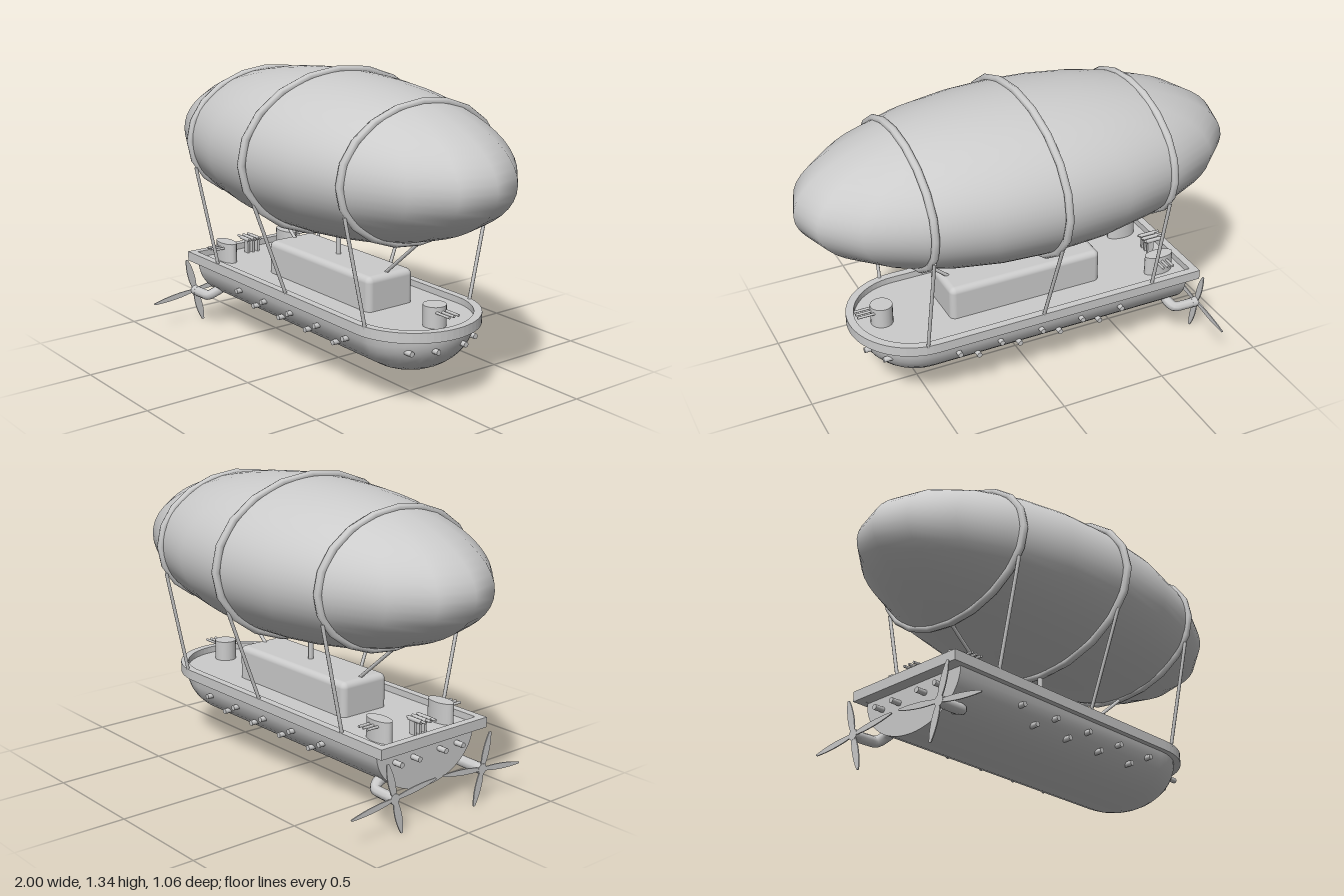
import * as THREE from 'three';
import { RoundedBoxGeometry } from 'three/addons/geometries/RoundedBoxGeometry.js';

const mat = new THREE.MeshStandardMaterial({ color: 0xcccccc });
const matDouble = new THREE.MeshStandardMaterial({ color: 0xcccccc, side: THREE.DoubleSide });
const V = (x, y, z) => new THREE.Vector3(x, y, z);

export function createModel() {
  const model = new THREE.Group();
  model.name = 'airship';

  const add = (name, geo, parent = model, material = mat) => {
    const mesh = new THREE.Mesh(geo, material);
    mesh.name = name;
    parent.add(mesh);
    return mesh;
  };
  // Round bar between two points
  const bar = (name, a, b, r, parent = model, sides = 8) => {
    const mesh = add(name, new THREE.CylinderGeometry(r, r, a.distanceTo(b), sides), parent);
    mesh.position.copy(a).lerp(b, 0.5);
    mesh.quaternion.setFromUnitVectors(V(0, 1, 0), b.clone().sub(a).normalize());
    return mesh;
  };

  // Gas envelope
  const envelope = add('envelope', new THREE.SphereGeometry(1, 20, 32).scale(1, 0.35, 0.5));
  envelope.position.y = 0.975;

  // Elliptical bands around the envelope, tube kept round
  const band = (x, rz, ry) => {
    const geo = new THREE.TorusGeometry(1, 0.018, 8, 20);
    const p = geo.attributes.position;
    for (let i = 0; i < p.count; i++) {
      const t = Math.atan2(p.getY(i), p.getX(i));
      const d = Math.hypot(p.getX(i), p.getY(i)) - 1;
      p.setXY(i, (rz + d) * Math.cos(t), (ry + d) * Math.sin(t));
    }
    add('envelopeBand', geo.rotateY(Math.PI / 2)).position.set(x, 0.975, 0);
  };
  band(0, 0.513, 0.355);
  for (const x of [-0.55, 0.55]) band(x, 0.42, 0.292);

  // Suspension cables, mast and braces
  for (const s of [-1, 1]) {
    bar('cable', V(0, 0.8, s * 0.455), V(0, 0.35, s * 0.285), 0.008);
    for (const x of [-0.55, 0.55]) bar('cable', V(x, 0.85, s * 0.395), V(x, 0.35, s * 0.285), 0.008);
    bar('brace', V(s * 0.55, 0.68, 0), V(s * 0.32, 0.485, 0), 0.008);
  }
  bar('mast', V(0, 0.48, 0), V(0, 0.64, 0), 0.012);

  // Hull: half-ellipse sections, straight aft and closing to a rounded bow
  const W = 0.275, D = 0.205, TOP = 0.33, STERN = -0.745, N = 16, M = 10;
  const stations = [[STERN, 1]];
  for (let i = 0; i <= M; i++) {
    const t = (i / M) * Math.PI / 2;
    stations.push([0.5 + 0.26 * Math.sin(t), Math.cos(t)]);
  }
  const pos = [], idx = [];
  stations.forEach(([x, k], i) => {
    for (let j = 0; j <= N; j++) {
      const a = (j / N) * Math.PI;
      pos.push(x, TOP - D * k * Math.sin(a), W * k * Math.cos(a));
      if (i < stations.length - 1 && j < N) {
        const q = i * (N + 1) + j, r = q + N + 1;
        idx.push(q, q + 1, r, q + 1, r + 1, r);
      }
    }
  });
  const hull = new THREE.BufferGeometry();
  hull.setAttribute('position', new THREE.Float32BufferAttribute(pos, 3));
  hull.setIndex(idx);
  hull.computeVertexNormals();
  add('hull', hull, model, matDouble);

  const sternShape = new THREE.Shape();
  sternShape.absellipse(0, 0, W, D, Math.PI, 2 * Math.PI, false);
  const stern = add('sternWall', new THREE.ShapeGeometry(sternShape, N), model, matDouble);
  stern.rotation.y = -Math.PI / 2;
  stern.position.set(STERN, TOP, 0);

  // Deck and raised rim share a plan: square stern, round bow
  const plan = (Type, aft, r) => {
    const s = new Type();
    s.moveTo(aft, -r);
    s.lineTo(0.5, -r);
    s.absarc(0.5, 0, r, -Math.PI / 2, Math.PI / 2, false);
    s.lineTo(aft, r);
    s.closePath();
    return s;
  };
  const slab = (name, shape, y, depth) => {
    const geo = new THREE.ExtrudeGeometry(shape, { depth, bevelEnabled: false, curveSegments: 16 });
    add(name, geo.rotateX(-Math.PI / 2)).position.y = y;
  };
  const rim = plan(THREE.Shape, -0.8, 0.3);
  rim.holes.push(plan(THREE.Path, -0.765, 0.265));
  slab('rim', rim, TOP, 0.045);
  slab('deck', plan(THREE.Shape, -0.78, 0.28), TOP + 0.001, 0.015);

  // Cabin
  add('cabin', new RoundedBoxGeometry(0.74, 0.18, 0.25, 3, 0.028)).position.y = 0.41;

  // Gun ports along the hull sides, bow and stern
  const port = (a, b) => bar('gunPort', a, b, 0.012, model, 12);
  for (const s of [-1, 1]) {
    for (let i = -2; i <= 2; i++) port(V(i * 0.2, 0.275, s * 0.22), V(i * 0.2, 0.275, s * 0.29));
    for (let i = -1.5; i <= 1.5; i++) port(V(i * 0.2, 0.225, s * 0.2), V(i * 0.2, 0.225, s * 0.265));
    for (const [z, x] of [[0.075, 0.765], [0.175, 0.715]]) {
      port(V(x - 0.07, 0.275, s * z), V(x, 0.275, s * z));
      port(V(-0.72, 0.275, s * z), V(-0.79, 0.275, s * z));
    }
  }

  // Deck turrets with triple barrels
  const turret = (name, x, z, rx, rz, angle, from, to) => {
    const g = new THREE.Group();
    g.name = name;
    g.position.set(x, 0, z);
    model.add(g);
    add('turretBody', new THREE.CylinderGeometry(1, 1, 0.1, 20).scale(rx, 1, rz), g).position.y = 0.388;
    const guns = new THREE.Group();
    guns.name = 'barrels';
    guns.rotation.y = angle;
    g.add(guns);
    for (const o of [-0.025, 0, 0.025]) bar('barrel', V(from, 0.415, o), V(to, 0.415, o), 0.006, guns);
  };
  turret('bowTurret', 0.65, 0, 0.05, 0.05, 0, 0.02, 0.12);
  for (const s of [-1, 1]) turret('sternTurret', -0.65, s * 0.175, 0.07, 0.035, -s * Math.PI / 2, 0.01, 0.09);

  // Stern guns between the turrets
  for (const z of [-0.028, 0, 0.028]) {
    bar('sternGunBarrel', V(-0.66, 0.415, z), V(-0.77, 0.415, z), 0.006);
    bar('sternGunSleeve', V(-0.67, 0.412, z), V(-0.745, 0.412, z), 0.01);
    const mount = add('sternGunMount', new THREE.BoxGeometry(0.03, 0.07, 0.012));
    mount.position.set(-0.695, 0.375, z);
  }

  // Propellers on elbow pipes, one each side
  const bladeShape = new THREE.Shape();
  bladeShape.moveTo(0, -0.008);
  bladeShape.quadraticCurveTo(0.11, -0.03, 0.23, -0.006);
  bladeShape.quadraticCurveTo(0.238, 0, 0.23, 0.006);
  bladeShape.quadraticCurveTo(0.11, 0.03, 0, 0.008);
  const bladeGeo = new THREE.ExtrudeGeometry(bladeShape, { depth: 0.005, bevelEnabled: false, curveSegments: 8 });
  for (const s of [-1, 1]) {
    const path = new THREE.CatmullRomCurve3([
      V(-0.69, 0.2, s * 0.17), V(-0.69, 0.185, s * 0.215), V(-0.71, 0.167, s * 0.245),
      V(-0.76, 0.163, s * 0.25), V(-0.82, 0.163, s * 0.25),
    ]);
    add('propellerArm', new THREE.TubeGeometry(path, 16, 0.024, 8), model, matDouble);
    bar('propellerHub', V(-0.8, 0.163, s * 0.25), V(-0.832, 0.163, s * 0.25), 0.024, model, 12);
    const prop = new THREE.Group();
    prop.name = 'propeller';
    prop.position.set(-0.826, 0.163, s * 0.25);
    prop.rotation.y = -Math.PI / 2;
    prop.scale.y = 0.69;
    model.add(prop);
    for (let i = 0; i < 4; i++) {
      const blade = add('blade', bladeGeo, prop);
      blade.rotation.z = i * Math.PI / 2 - s * 0.18;
    }
  }
  return model;
}
